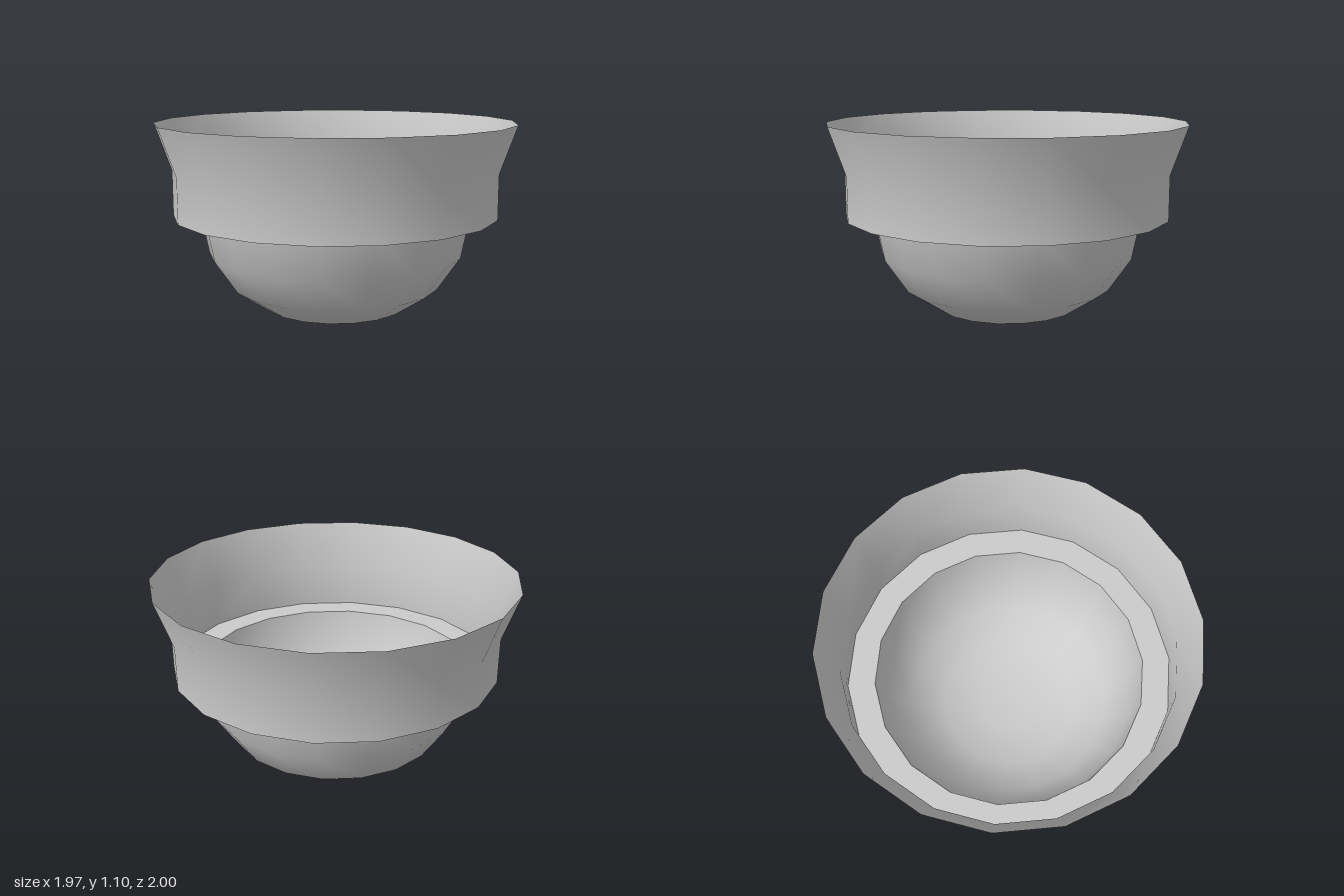
import * as THREE from 'three';

const SIDES = 18;

// Thin surface of revolution from [radius, height] points, bottom to top
function turned(name, profile, material) {
  const points = profile.map(([r, y]) => new THREE.Vector2(r, y));
  const mesh = new THREE.Mesh(new THREE.LatheGeometry(points, SIDES), material);
  mesh.name = name;
  return mesh;
}

export function createModel() {
  const model = new THREE.Group();
  model.name = 'steppedBowl';
  const material = new THREE.MeshStandardMaterial({ color: 0xcccccc, side: THREE.DoubleSide });

  const ledgeY = 0.58, bowlR = 0.757, collarR = 0.908;

  // Rounded basin with a small flat base
  const bowl = [[0, 0], [0.175, 0.002], [0.397, 0.047], [0.586, 0.172], [0.713, 0.36], [bowlR, ledgeY]];
  // Flat ring joining basin and collar
  const ledge = [[bowlR, ledgeY], [collarR, ledgeY]];
  // Upright wall flaring out to the open rim
  const collar = [[collarR, ledgeY], [collarR, 0.83], [1, 1.095]];

  model.add(
    turned('bowl', bowl, material),
    turned('ledge', ledge, material),
    turned('flaredCollar', collar, material)
  );
  return model;
}
